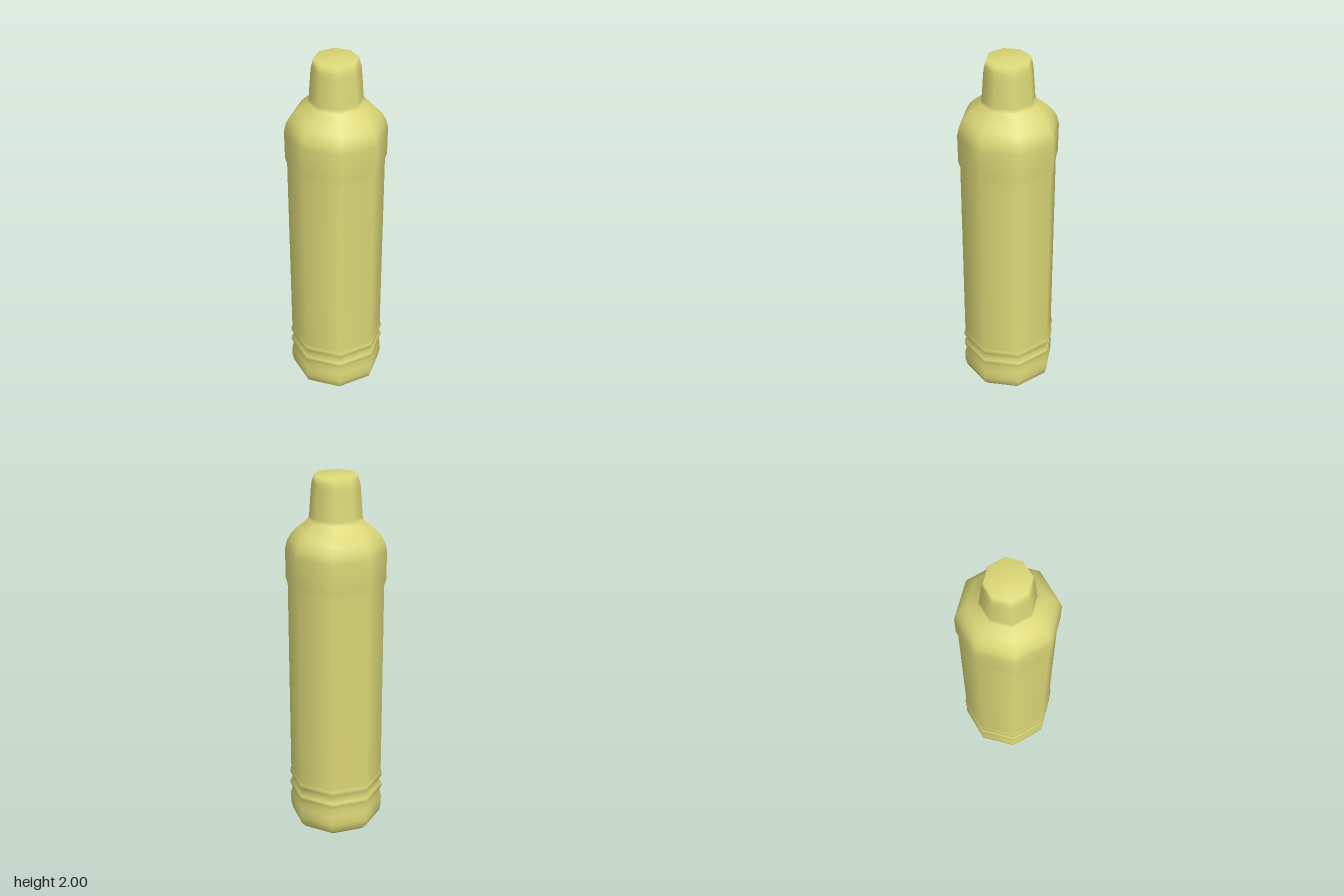
import * as THREE from 'three';

// Eight-sided smooth shell turned from a [radius, height] profile, bottom to top
function turned(name, profile, material) {
  const points = profile.map(([r, y]) => new THREE.Vector2(r, y));
  const mesh = new THREE.Mesh(new THREE.LatheGeometry(points, 8), material);
  mesh.name = name;
  return mesh;
}

export function createModel() {
  const group = new THREE.Group();
  group.name = 'bottle';
  const yellow = new THREE.MeshStandardMaterial({ color: 0xdcd878 });
  yellow.name = 'pale yellow';

  group.add(turned('bottle', [
    // rounded foot
    [0, 0], [0.19, 0.002], [0.225, 0.014], [0.25, 0.04], [0.259, 0.08], [0.259, 0.135],
    // two grooves with a ring between them
    [0.25, 0.178], [0.262, 0.205], [0.26, 0.222], [0.246, 0.245], [0.262, 0.275], [0.26, 0.293],
    // straight body
    [0.255, 0.31], [0.255, 1.41],
    // raised band and round shoulder
    [0.265, 1.445], [0.266, 1.6], [0.256, 1.645], [0.234, 1.685], [0.2, 1.72], [0.145, 1.765],
    // tapered neck with a closed top
    [0.138, 1.785], [0.127, 1.935], [0.122, 1.965], [0.113, 2], [0, 2],
  ], yellow));
  return group;
}
